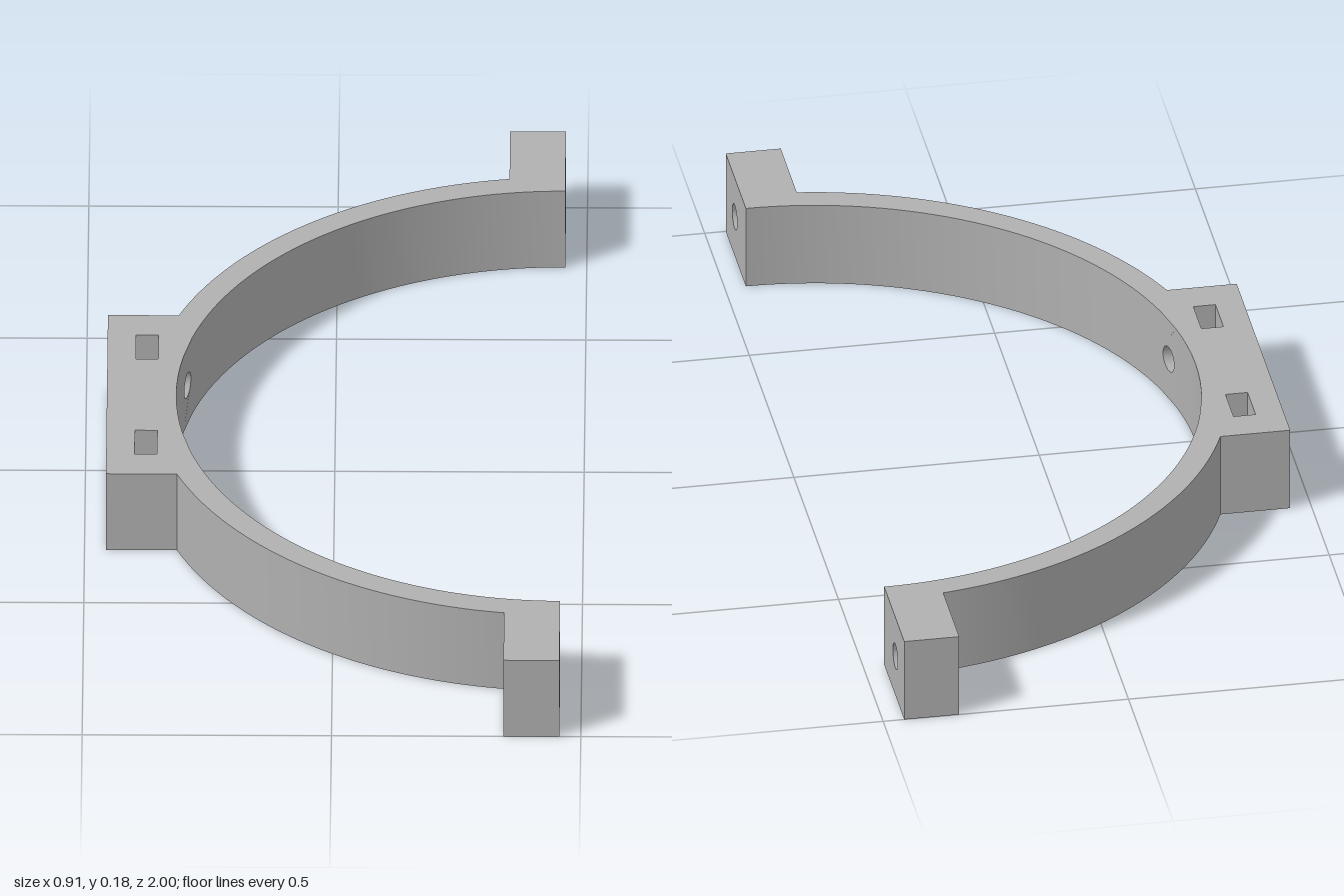
import * as THREE from 'three';
import { toCreasedNormals } from 'three/addons/utils/BufferGeometryUtils.js';

const H = 0.18, MID = H / 2;           // band height and screw axis height
const CX = 0.457, RI = 0.775, RO = 0.828; // ring centre, inner and outer radius
const PAD = 0.3, BOLT = 0.18, EAR = 0.9;  // pad half width, screw positions along z
const HOLE = 0.027, NUT = 0.045;       // screw hole radius, half nut width

export function createModel() {
  const group = new THREE.Group();
  const grey = new THREE.MeshStandardMaterial({ color: 0xb0b0b0 });
  grey.name = 'plainGrey';

  const add = (name, geometry) => {
    const mesh = new THREE.Mesh(geometry, grey);
    mesh.name = name;
    group.add(mesh);
  };
  const polygon = (pts) => new THREE.Shape(pts.map(([a, b]) => new THREE.Vector2(a, b)));
  const rect = (z0, z1) => polygon([[-z1, 0], [-z0, 0], [-z0, H], [-z1, H]]);
  const drill = (shape, z) => {
    const path = new THREE.Path();
    path.absarc(-z, MID, HOLE, 0, Math.PI * 2, true);
    shape.holes.push(path);
    return shape;
  };
  // Slab drawn in the side plane, running from x0 to x1
  const slab = (shape, x0, x1) => new THREE.ExtrudeGeometry(shape,
    { depth: x1 - x0, bevelEnabled: false, curveSegments: 12 })
    .rotateY(Math.PI / 2).translate(x0, 0, 0);

  // Curved arms, from the pad to the open ends
  for (const s of [1, -1]) {
    const pts = [], n = 40;
    const arc = (r, from, to) => {
      for (let i = 0; i <= n; i++) {
        const a = from + (to - from) * i / n;
        pts.push([CX - r * Math.cos(a), -s * r * Math.sin(a)]);
      }
    };
    arc(RO, Math.asin(PAD / RO), Math.PI / 2);
    arc(RI, Math.PI / 2, Math.asin(PAD / RI));
    const arm = new THREE.ExtrudeGeometry(polygon(pts), { depth: H, bevelEnabled: false });
    add(s > 0 ? 'frontArm' : 'backArm', toCreasedNormals(arm.rotateX(-Math.PI / 2), 0.4));
  }

  // End ears: drilled plate plus a plate with a square nut pocket
  for (const s of [1, -1]) {
    const z0 = Math.min(s * 0.818, s), z1 = Math.max(s * 0.818, s);
    const name = s > 0 ? 'frontEar' : 'backEar';
    add(name, toCreasedNormals(slab(drill(rect(z0, z1), s * EAR), 0.387, CX), 0.6));
    const pocket = rect(z0, z1), c = -s * EAR;
    pocket.holes.push(new THREE.Path([[-1, -1], [-1, 1], [1, 1], [1, -1]]
      .map(([a, b]) => new THREE.Vector2(c + a * NUT, MID + b * NUT))));
    add(name + 'NutPocket', slab(pocket, 0.345, 0.387));
  }

  // Mounting pad: drilled outer plate
  const outer = drill(drill(rect(-PAD, PAD), BOLT), -BOLT);
  add('padOuterPlate', toCreasedNormals(slab(outer, -CX, -0.4), 0.6));

  // Mounting pad: middle layer with two nut slots open at the top
  const notched = [[-PAD, 0], [PAD, 0], [PAD, H]];
  for (const c of [BOLT, -BOLT]) {
    notched.push([c + NUT, H], [c + NUT, MID - NUT], [c - NUT, MID - NUT], [c - NUT, H]);
  }
  notched.push([-PAD, H]);
  add('padNutSlots', slab(polygon(notched), -0.4, -0.355));

  // Mounting pad: inner layer in strips, its open face bent onto the ring's inside
  const W = 0.035;
  const cuts = [];
  const span = (a, b, n) => { for (let i = 0; i < n; i++) cuts.push(a + (b - a) * i / n); };
  span(-PAD, -BOLT - W, 3);
  span(-BOLT - W, -BOLT + W, 1);
  span(-BOLT + W, BOLT - W, 8);
  span(BOLT - W, BOLT + W, 1);
  span(BOLT + W, PAD, 3);
  cuts.push(PAD);
  for (let i = 0; i < cuts.length - 1; i++) {
    const z0 = cuts[i], z1 = cuts[i + 1], shape = rect(z0, z1);
    for (const b of [BOLT, -BOLT]) if (b > z0 && b < z1) drill(shape, b);
    let geo = slab(shape, -0.355, 0);
    const p = geo.attributes.position;
    for (let k = 0; k < p.count; k++) {
      if (p.getX(k) > -0.1) p.setX(k, CX - Math.sqrt(RI * RI - p.getZ(k) ** 2));
    }
    geo = toCreasedNormals(geo, 0.6);
    // Round shading across the bent face
    const q = geo.attributes.position, nrm = geo.attributes.normal;
    for (let k = 0; k < q.count; k++) {
      if (nrm.getX(k) > 0.8) nrm.setXYZ(k, (CX - q.getX(k)) / RI, 0, -q.getZ(k) / RI);
    }
    add('padInnerStrip', geo);
  }
  return group;
}
